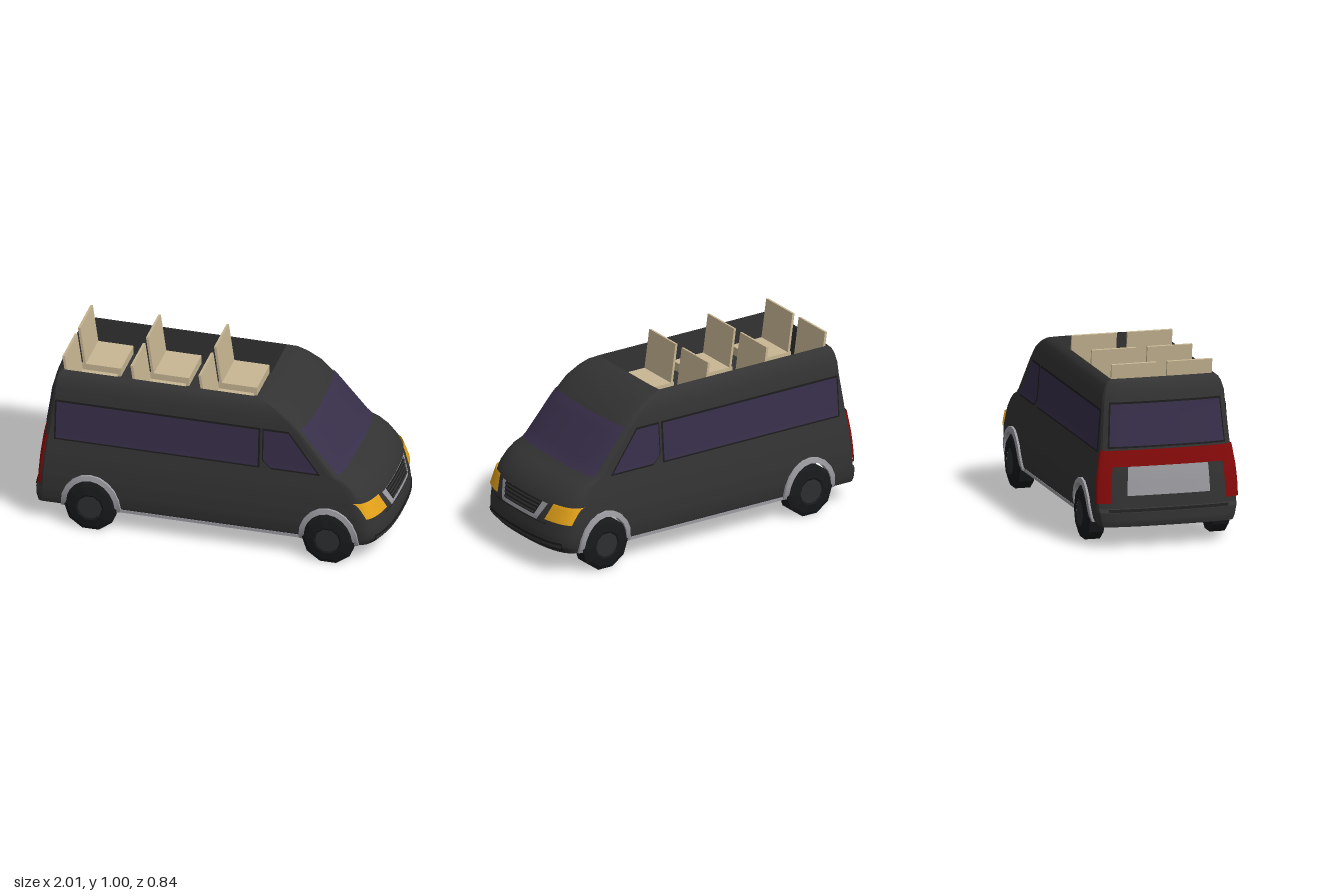
import * as THREE from 'three';
import { toCreasedNormals } from 'three/addons/utils/BufferGeometryUtils.js';

const paint = (color, extra = {}) => new THREE.MeshStandardMaterial({ color, side: THREE.DoubleSide, ...extra });
const MAT = {
  body: paint(0x333333), dark: paint(0x1c1c1c), glass: paint(0x382f4a), red: paint(0x860a0a),
  amber: paint(0xe8a51a), chrome: paint(0x9c9ca2), seat: paint(0xc8b793),
  tyre: paint(0x17191b, { flatShading: true }), hub: paint(0x2c2e30, { flatShading: true }),
};

// Plan slices of the shell: y, rear x, front x, half width, front corner depth, rear corner depth
const SLICES = [
  [0.12, -0.99, 0.97, 0.375, 0.13, 0.05], [0.145, -1, 0.985, 0.385, 0.13, 0.06],
  [0.16, -1, 1, 0.388, 0.14, 0.06], [0.2, -1, 1, 0.395, 0.14, 0.06],
  [0.22, -0.978, 0.998, 0.397, 0.14, 0.05], [0.3, -0.973, 0.982, 0.398, 0.13, 0.05],
  [0.38, -0.967, 0.953, 0.392, 0.13, 0.05], [0.42, -0.963, 0.93, 0.388, 0.12, 0.05],
  [0.47, -0.957, 0.88, 0.38, 0.1, 0.05], [0.5, -0.953, 0.83, 0.375, 0.08, 0.05],
  [0.525, -0.95, 0.765, 0.371, 0.065, 0.05], [0.55, -0.946, 0.735, 0.368, 0.06, 0.05],
  [0.75, -0.915, 0.57, 0.352, 0.06, 0.045], [0.83, -0.905, 0.485, 0.345, 0.05, 0.04],
  [0.88, -0.89, 0.405, 0.33, 0.04, 0.03], [0.905, -0.875, 0.345, 0.315, 0.025, 0.02],
  [0.92, -0.85, 0.27, 0.292, 0.008, 0.008],
];
const lerp = THREE.MathUtils.lerp;

function slice(y) {
  let i = 1;
  while (i < SLICES.length - 1 && SLICES[i][0] < y) i++;
  const a = SLICES[i - 1], b = SLICES[i];
  const t = THREE.MathUtils.clamp((y - a[0]) / (b[0] - a[0]), 0, 1);
  const [, rear, front, w, fc, rc] = a.map((v, k) => lerp(v, b[k], t));
  return { rear, front, w, fc, rc };
}

// Points on the shell: q runs -1..1 across the nose or tail, off lifts the point outward
const bend = (q) => 1 - Math.pow(Math.max(0, 1 - Math.pow(Math.abs(q), 2.5)), 0.4);
const nose = (y, q, off = 0) => {
  const s = slice(y);
  return [s.front - s.fc * bend(q) + off, y, q * (s.w + off)];
};
const tail = (y, q, off = 0) => {
  const s = slice(y);
  return [s.rear + s.rc * bend(q) - off, y, q * (s.w + off)];
};

// Surface from a rule fn(u, v) -> [x, y, z]
function grid(nu, nv, fn) {
  const pos = [], idx = [];
  for (let j = 0; j <= nv; j++) for (let i = 0; i <= nu; i++) pos.push(...fn(i / nu, j / nv));
  for (let j = 0; j < nv; j++) for (let i = 0; i < nu; i++) {
    const a = j * (nu + 1) + i, b = a + nu + 1;
    idx.push(a, a + 1, b, b, a + 1, b + 1);
  }
  const g = new THREE.BufferGeometry();
  g.setAttribute('position', new THREE.Float32BufferAttribute(pos, 3));
  g.setIndex(idx);
  g.computeVertexNormals();
  return g;
}

const WHEELS = [-0.655, 0.69];
function archHeight(x) {
  for (const c of WHEELS) {
    const d = Math.abs(x - c) / 0.145;
    if (d < 1) return 0.145 + 0.165 * Math.sqrt(1 - d * d);
  }
  return 0;
}

// Open shell: nose, sides with wheel openings, tail
function shellGeometry() {
  const F = 10, S = 100, R = 7, N = F + S + R;
  const ys = SLICES.map((s) => s[0]);
  for (let y = 0.24; y < 0.37; y += 0.02) ys.push(y);
  ys.sort((a, b) => a - b);
  return toCreasedNormals(grid(2 * N, ys.length - 1, (u, v) => {
    const j = Math.round(u * 2 * N) - N, k = Math.abs(j), sign = j < 0 ? -1 : 1;
    const y = ys[Math.round(v * (ys.length - 1))], s = slice(y);
    let p;
    if (k <= F) p = nose(y, Math.sin((k / F) * Math.PI / 2));
    else if (k >= F + S) p = tail(y, Math.sin(((N - k) / R) * Math.PI / 2));
    else {
      const x = lerp(s.front - s.fc, s.rear + s.rc, (k - F) / S);
      const yy = Math.max(y, archHeight(x));
      p = [x, yy, slice(yy).w];
    }
    return [p[0], p[1], p[2] * sign];
  }), 0.5);
}

export function createModel() {
  const van = new THREE.Group();
  van.name = 'van';
  const add = (name, geo, mat, x = 0, y = 0, z = 0) => {
    const m = new THREE.Mesh(geo, mat);
    m.name = name;
    m.position.set(x, y, z);
    van.add(m);
    return m;
  };
  const box = (name, w, h, d, mat, x, y, z) => add(name, new THREE.BoxGeometry(w, h, d), mat, x, y, z);

  // Patch lying on the nose or tail; edges given as q at its bottom and top
  const patch = (name, mat, end, y0, y1, [a0, a1], [b0, b1], off) =>
    add(name, grid(24, 10, (u, v) => end(lerp(y0, y1, v), lerp(lerp(a0, b0, v), lerp(a1, b1, v), u), off)), mat);
  // Patch lying on a side, between left(y) and right(y)
  const sidePatch = (name, mat, side, y0, y1, left, right, off) =>
    add(name, grid(8, 16, (u, v) => {
      const y = lerp(y0, y1, v);
      return [lerp(left(y), right(y), u), y, side * (slice(y).w + off)];
    }), mat);

  add('bodyShell', shellGeometry(), MAT.body);

  // Windscreen and rear window, seen from both sides of the shell
  for (const off of [0.006, -0.006]) {
    patch('windscreen', MAT.glass, nose, 0.53, 0.775, [-0.93, 0.93], [-0.95, 0.95], off);
    patch('rearWindow', MAT.glass, tail, 0.56, 0.79, [-0.87, 0.87], [-0.87, 0.87], off);
  }
  patch('rearWindowFrame', MAT.dark, tail, 0.55, 0.8, [-0.9, 0.9], [-0.9, 0.9], 0.003);

  // Tail lights, plate panel and bumper groove
  patch('rearRedBand', MAT.red, tail, 0.45, 0.54, [-1, 1], [-1, 1], 0.006);
  patch('platePanel', MAT.chrome, tail, 0.29, 0.45, [-0.58, 0.58], [-0.58, 0.58], 0.007);
  patch('rearBumperGroove', MAT.dark, tail, 0.203, 0.217, [-0.85, 0.85], [-0.85, 0.85], 0.004);

  // Grille: chrome surround, dark inset and slats
  patch('grilleSurround', MAT.chrome, nose, 0.28, 0.38, [-0.41, 0.41], [-0.55, 0.55], 0.007);
  patch('grilleInset', MAT.dark, nose, 0.303, 0.382, [-0.35, 0.35], [-0.44, 0.44], 0.011);
  for (let i = 0; i < 4; i++) {
    const y = 0.31 + i * 0.019, q = 0.35 + i * 0.023;
    patch('grilleSlat', MAT.body, nose, y, y + 0.01, [-q, q], [-q, q], 0.016);
  }
  // Front bumper intake
  patch('bumperIntake', MAT.dark, nose, 0.135, 0.185, [-0.9, 0.9], [-0.89, 0.89], 0.003);
  patch('bumperSlat', MAT.body, nose, 0.147, 0.174, [-0.88, 0.88], [-0.88, 0.88], 0.006);
  patch('bumperSeam', MAT.dark, nose, 0.27, 0.274, [-0.6, 0.6], [-0.6, 0.6], 0.003);

  for (const s of [1, -1]) {
    patch('headlight', MAT.amber, nose, 0.298, 0.39, [0.56 * s, 0.97 * s], [0.65 * s, s], 0.008);
    patch('tailLight', MAT.red, tail, 0.25, 0.54, [0.8 * s, s], [0.8 * s, s], 0.007);

    // Side windows with dark frames, glass also showing inside
    const slope = (y) => 0.455 + (0.75 - y) * 0.77;
    const notch = (y) => 0.315 + Math.max(0, 0.57 - y) * 1.1;
    sidePatch('sideWindowFrame', MAT.dark, s, 0.522, 0.76, () => -0.868, () => 0.295, 0.003);
    sidePatch('cabWindowFrame', MAT.dark, s, 0.522, 0.76, (y) => notch(y) - 0.008, (y) => slope(y) + 0.008, 0.003);
    for (const off of [0.006, -0.005]) {
      sidePatch('sideWindow', MAT.glass, s, 0.532, 0.75, () => -0.858, () => 0.285, off);
      sidePatch('cabWindow', MAT.glass, s, 0.532, 0.75, notch, slope, off);
    }

    box('sill', 1.02, 0.018, 0.014, MAT.chrome, 0.02, 0.13, s * 0.378);

    for (const cx of WHEELS) {
      // Wheel arch trim: a band with returns, swept over the opening
      const band = [[0.138, 0.163, -0.035], [0.138, 0.163, 0.016], [0.168, 0.192, 0.012], [0.17, 0.194, -0.01]];
      add('archTrim', toCreasedNormals(grid(12, 3, (u, v) => {
        const [rx, ry, off] = band[Math.round(v * 3)];
        const a = Math.PI * THREE.MathUtils.clamp((u * 12 - 1) / 10, 0, 1);
        const y = u === 0 || u === 1 ? 0.122 : 0.145 + ry * Math.sin(a);
        return [cx - rx * Math.cos(a), y, s * (slice(y).w + off)];
      }), 0.6), MAT.chrome);

      // Ten-sided wheel with chamfered outer face
      const profile = [[0.07, -0.05], [0.15, -0.05], [0.15, 0.035], [0.128, 0.046], [0.08, 0.056], [0.07, 0.05]];
      const tyre = new THREE.LatheGeometry(profile.map(([r, h]) => new THREE.Vector2(r, h)), 10, Math.PI / 10);
      const hub = new THREE.CylinderGeometry(0.072, 0.072, 0.098, 10);
      for (const [name, geo, mat] of [['tyre', tyre, MAT.tyre], ['hub', hub, MAT.hub]]) {
        geo.rotateX(s * Math.PI / 2);
        add(name, geo, mat, cx, 0.143, s * 0.362);
      }
    }
  }

  // Sunken cabin floor and its walls below the open roof
  box('cabinFloor', 1.12, 0.01, 0.58, MAT.body, -0.29, 0.72, 0);
  for (const s of [1, -1]) {
    box('cabinSideWall', 1.12, 0.2, 0.004, MAT.body, -0.29, 0.818, s * 0.29);
    box('cabinEndWall', 0.004, 0.2, 0.58, MAT.body, -0.29 + s * 0.558, 0.818, 0);
  }

  // Three rows of paired seats
  for (const x of [-0.84, -0.455, -0.07]) for (const z of [0.158, -0.158]) {
    box('seatCushion', 0.22, 0.05, 0.256, MAT.seat, x + 0.13, 0.753, z);
    box('seatBack', 0.014, 0.25, 0.256, MAT.seat, x + 0.02, 0.875, z).rotation.z = 0.14;
  }
  return van;
}
